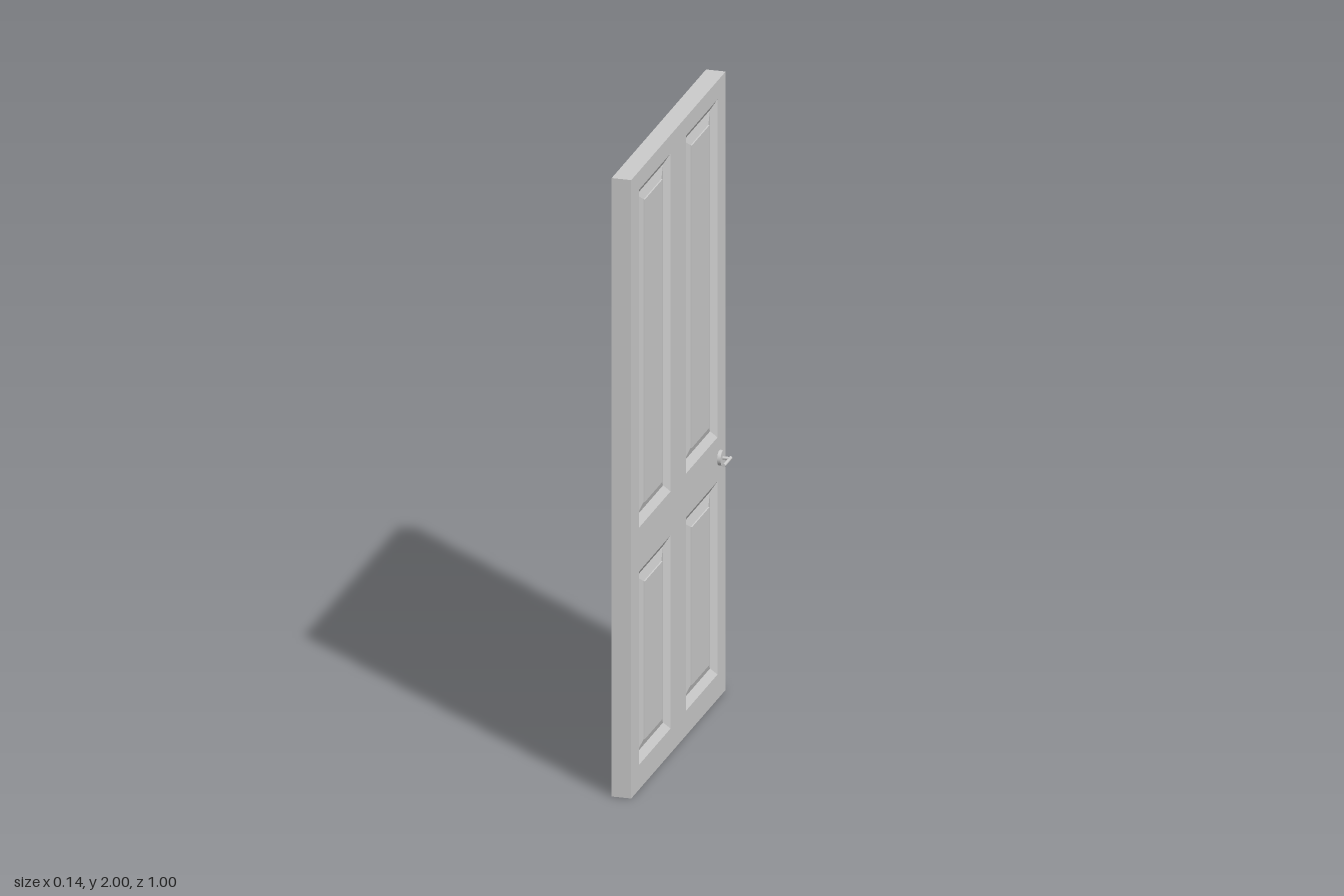
import * as THREE from 'three';

const HALF = 0.031;               // half the door thickness
const HANDLE_Y = 0.775, HANDLE_Z = -0.42;
const mat = new THREE.MeshStandardMaterial({ color: 0xcccccc });

function rectPath(target, x0, x1, y0, y1) {
  target.moveTo(x0, y0);
  target.lineTo(x1, y0);
  target.lineTo(x1, y1);
  target.lineTo(x0, y1);
  target.closePath();
  return target;
}

// Raised panel facing +x: nested rectangles [inset z, inset y, depth] joined by flat strips
function panelGeometry(w, h) {
  const steps = [[0, 0, 0], [0.025, 0.027, 0.016], [0.073, 0.057, 0.007], [0.0735, 0.0575, 0.003]];
  const rings = steps.map(([iz, iy, d]) => {
    const z = w / 2 - iz, y = h / 2 - iy, x = HALF - d;
    return [[x, -y, z], [x, -y, -z], [x, y, -z], [x, y, z]];
  });
  const pos = [];
  const quad = (a, b, c, d) => pos.push(...a, ...b, ...c, ...a, ...c, ...d);
  for (let r = 0; r < rings.length - 1; r++) {
    for (let i = 0; i < 4; i++) {
      const j = (i + 1) % 4;
      quad(rings[r][i], rings[r][j], rings[r + 1][j], rings[r + 1][i]);
    }
  }
  quad(...rings[rings.length - 1]);
  const geo = new THREE.BufferGeometry();
  geo.setAttribute('position', new THREE.Float32BufferAttribute(pos, 3));
  geo.computeVertexNormals();
  return geo;
}

// Rosette, spindle and lever on the +x face
function handle() {
  const g = new THREE.Group();
  const rod = (name, r, x0, x1) => {
    const m = new THREE.Mesh(new THREE.CylinderGeometry(r, r, x1 - x0, 24), mat);
    m.name = name;
    m.rotation.z = -Math.PI / 2;
    m.position.x = (x0 + x1) / 2;
    g.add(m);
  };
  rod('rosette', 0.024, HALF - 0.002, 0.042);
  rod('spindle', 0.005, 0.042, 0.062);
  const lever = new THREE.Mesh(new THREE.CylinderGeometry(0.0055, 0.0055, 0.071, 16), mat);
  lever.name = 'lever';
  lever.rotation.x = Math.PI / 2;
  lever.position.set(0.0645, 0, 0.029);
  g.add(lever);
  return g;
}

export function createModel() {
  const door = new THREE.Group();
  door.name = 'door';

  // Panel openings as [z min, z max, y min, y max]
  const openings = [];
  for (const [z0, z1] of [[0.09, 0.42], [-0.4, -0.07]]) {
    for (const [y0, y1] of [[0.08, 0.705], [0.847, 1.94]]) openings.push([z0, z1, y0, y1]);
  }

  // Frame of stiles and rails
  const outline = rectPath(new THREE.Shape(), -0.5, 0.485, 0, 2);
  for (const [z0, z1, y0, y1] of openings) {
    outline.holes.push(rectPath(new THREE.Path(), -z1, -z0, y0, y1));
  }
  const frameGeo = new THREE.ExtrudeGeometry(outline, { depth: HALF * 2, bevelEnabled: false });
  frameGeo.translate(0, 0, -HALF).rotateY(Math.PI / 2);
  const frame = new THREE.Mesh(frameGeo, mat);
  frame.name = 'frame';
  door.add(frame);

  // Raised panels on both faces
  for (const [z0, z1, y0, y1] of openings) {
    const geo = panelGeometry(z1 - z0, y1 - y0);
    for (const turn of [0, Math.PI]) {
      const panel = new THREE.Mesh(geo, mat);
      panel.name = 'raisedPanel';
      panel.position.set(0, (y0 + y1) / 2, (z0 + z1) / 2);
      panel.rotation.y = turn;
      door.add(panel);
    }
  }

  // Handles, mirrored across the door
  for (const side of [1, -1]) {
    const h = handle();
    h.name = side > 0 ? 'leftHandle' : 'rightHandle';
    h.scale.x = side;
    h.position.set(0, HANDLE_Y, HANDLE_Z);
    door.add(h);
  }

  // Bevelled latch bolt in the closing edge
  const bolt = new THREE.Shape();
  bolt.moveTo(-0.007, -0.48);
  bolt.lineTo(0.006, -0.48);
  bolt.lineTo(0.006, -0.5);
  bolt.lineTo(0.001, -0.5);
  bolt.lineTo(-0.007, -0.49);
  bolt.closePath();
  const boltGeo = new THREE.ExtrudeGeometry(bolt, { depth: 0.016, bevelEnabled: false });
  boltGeo.translate(0, 0, -0.008).rotateX(Math.PI / 2);
  const latch = new THREE.Mesh(boltGeo, mat);
  latch.name = 'latchBolt';
  latch.position.y = HANDLE_Y;
  door.add(latch);

  return door;
}
